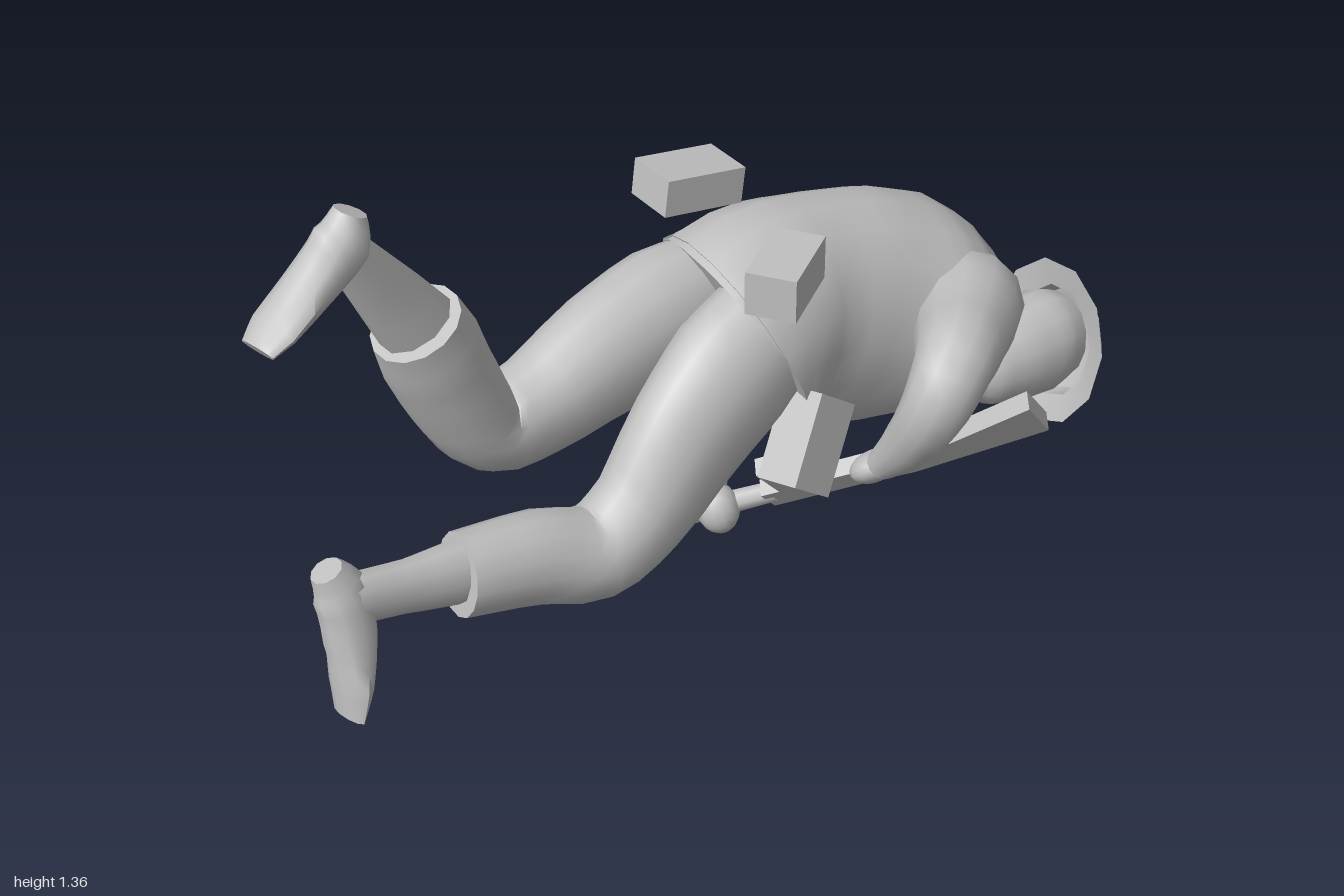
import * as THREE from 'three';
import { toCreasedNormals } from 'three/addons/utils/BufferGeometryUtils.js';

const grey = new THREE.MeshStandardMaterial({ color: 0xc0c0c0 });
grey.name = 'plain grey';
const greyOpen = grey.clone();
greyOpen.side = THREE.DoubleSide;
const V = (x, y, z) => new THREE.Vector3(x, y, z);

function add(parent, name, geometry, material = grey) {
  const mesh = new THREE.Mesh(geometry, material);
  mesh.name = name;
  parent.add(mesh);
  return mesh;
}

// Skin elliptical sections [x, y, z, halfWidth, halfDepth] along a smooth path
function loft(rows, sides = 12, steps = 3, sideAxis = V(1, 0, 0)) {
  const curve = new THREE.CatmullRomCurve3(rows.map((r) => V(r[0], r[1], r[2])));
  const n = (rows.length - 1) * steps, pos = [], idx = [];
  for (let i = 0; i <= n; i++) {
    const t = i / n, f = t * (rows.length - 1);
    const k = Math.min(Math.floor(f), rows.length - 2), m = f - k;
    const ru = THREE.MathUtils.lerp(rows[k][3], rows[k + 1][3], m);
    const rv = THREE.MathUtils.lerp(rows[k][4], rows[k + 1][4], m);
    const c = curve.getPoint(t), tan = curve.getTangent(t);
    const u = sideAxis.clone().addScaledVector(tan, -sideAxis.dot(tan)).normalize();
    const v = tan.clone().cross(u);
    for (let j = 0; j < sides; j++) {
      const a = (j / sides) * Math.PI * 2;
      const p = c.clone().addScaledVector(u, Math.cos(a) * ru).addScaledVector(v, Math.sin(a) * rv);
      pos.push(p.x, p.y, p.z);
      if (i < n) {
        const q = i * sides + j, r = i * sides + ((j + 1) % sides);
        idx.push(q, r, q + sides, r, r + sides, q + sides);
      }
    }
  }
  // flat end caps
  for (let j = 1; j < sides - 1; j++) {
    idx.push(0, j + 1, j, n * sides, n * sides + j, n * sides + j + 1);
  }
  const g = new THREE.BufferGeometry();
  g.setAttribute('position', new THREE.Float32BufferAttribute(pos, 3));
  g.setIndex(idx);
  return toCreasedNormals(g, 0.95);
}

function ellipsoid(parent, name, at, radii, tilt) {
  const m = add(parent, name, new THREE.SphereGeometry(1, 14, 10));
  m.position.set(...at);
  m.scale.set(...radii);
  m.rotation.z = tilt;
}

function box(parent, name, at, size, rot = [0, 0, 0]) {
  const m = add(parent, name, new THREE.BoxGeometry(...size));
  m.position.set(...at);
  m.rotation.set(...rot);
  return m;
}

export function createModel() {
  const model = new THREE.Group();
  model.name = 'crawlingSoldier';

  // Jacket, from slanted hem to collar
  add(model, 'jacket', loft([
    [-0.01, 0.775, -0.075, 0.24, 0.262], [-0.005, 0.79, -0.11, 0.225, 0.255],
    [0.0, 0.775, -0.21, 0.205, 0.258], [0.02, 0.73, -0.38, 0.215, 0.265],
    [0.045, 0.69, -0.53, 0.245, 0.24], [0.065, 0.665, -0.62, 0.235, 0.195],
    [0.09, 0.645, -0.685, 0.17, 0.135], [0.105, 0.63, -0.725, 0.085, 0.075],
  ], 18));

  // Neck, head and hat
  add(model, 'neck', loft([[0.1, 0.63, -0.68, 0.065, 0.065], [0.13, 0.51, -0.79, 0.05, 0.05]], 10, 2));
  add(model, 'head', loft([
    [0.125, 0.475, -0.64, 0.045, 0.05], [0.13, 0.48, -0.68, 0.085, 0.09],
    [0.135, 0.48, -0.78, 0.105, 0.118], [0.14, 0.475, -0.88, 0.108, 0.125],
    [0.143, 0.465, -0.94, 0.09, 0.105],
  ], 14));
  const profile = [[0.2, 0], [0.135, 0.018], [0.125, 0.065], [0.07, 0.092], [0, 0.1]]
    .map(([r, y]) => new THREE.Vector2(r, y));
  const hat = add(model, 'hat', toCreasedNormals(new THREE.LatheGeometry(profile, 11), 0.6), greyOpen);
  hat.position.set(0.145, 0.465, -0.9);
  hat.quaternion.setFromUnitVectors(V(0, 1, 0), V(0.15, -0.2, -0.95).normalize());
  hat.scale.set(0.92, 1, 1);

  // Raised right leg
  add(model, 'rightTrouserLeg', loft([
    [-0.105, 0.82, -0.13, 0.11, 0.14], [-0.12, 0.815, 0.04, 0.125, 0.15],
    [-0.12, 0.785, 0.2, 0.118, 0.14],
    [-0.125, 0.735, 0.38, 0.1, 0.11], [-0.125, 0.74, 0.49, 0.1, 0.09],
    [-0.13, 0.86, 0.56, 0.105, 0.1], [-0.125, 0.98, 0.61, 0.1, 0.105],
    [-0.115, 1.06, 0.645, 0.085, 0.095],
  ], 14));
  add(model, 'rightShin', loft([
    [-0.12, 1.02, 0.62, 0.065, 0.085], [-0.115, 1.14, 0.695, 0.05, 0.068],
    [-0.11, 1.28, 0.785, 0.042, 0.045],
  ], 10));
  add(model, 'rightBoot', loft([
    [-0.11, 1.355, 0.765, 0.035, 0.03], [-0.11, 1.3, 0.79, 0.055, 0.058],
    [-0.11, 1.235, 0.87, 0.058, 0.04], [-0.105, 1.185, 0.95, 0.06, 0.027],
    [-0.1, 1.16, 0.99, 0.045, 0.018],
  ], 10));

  // Trailing left leg
  add(model, 'leftTrouserLeg', loft([
    [0.085, 0.84, -0.1, 0.115, 0.15], [0.09, 0.77, 0.03, 0.12, 0.165],
    [0.095, 0.68, 0.15, 0.108, 0.15],
    [0.1, 0.55, 0.29, 0.1, 0.115], [0.095, 0.505, 0.4, 0.1, 0.1],
    [0.07, 0.545, 0.53, 0.09, 0.1], [0.045, 0.575, 0.7, 0.08, 0.09],
  ], 14));
  add(model, 'leftShin', loft([
    [0.045, 0.575, 0.66, 0.06, 0.075], [0.035, 0.605, 0.82, 0.042, 0.058],
    [0.025, 0.635, 0.95, 0.04, 0.055],
  ], 10));
  add(model, 'leftBoot', loft([
    [0.005, 0.705, 0.965, 0.035, 0.033], [0.015, 0.65, 0.945, 0.05, 0.057],
    [0.035, 0.55, 0.947, 0.055, 0.053], [0.055, 0.46, 0.968, 0.06, 0.032],
    [0.065, 0.395, 0.985, 0.048, 0.015],
  ], 10));

  // Arms, each a bent sleeve from shoulder to wrist
  add(model, 'leftArm', loft([
    [0.13, 0.72, -0.6, 0.1, 0.1], [0.21, 0.75, -0.54, 0.125, 0.125],
    [0.31, 0.775, -0.42, 0.1, 0.105], [0.395, 0.795, -0.305, 0.083, 0.083],
    [0.4, 0.72, -0.255, 0.072, 0.072], [0.34, 0.6, -0.25, 0.058, 0.058],
    [0.265, 0.5, -0.245, 0.035, 0.035],
  ], 12, 3, V(0.82, -0.48, -0.55)));
  add(model, 'rightArm', loft([
    [-0.06, 0.65, -0.6, 0.1, 0.1], [-0.14, 0.62, -0.54, 0.105, 0.125],
    [-0.21, 0.58, -0.41, 0.085, 0.095], [-0.262, 0.55, -0.26, 0.072, 0.08],
    [-0.25, 0.5, -0.185, 0.066, 0.07], [-0.175, 0.4, -0.13, 0.056, 0.058],
    [-0.1, 0.31, -0.085, 0.035, 0.035],
  ], 12, 3, V(0.62, 0.68, 0.43)));
  ellipsoid(model, 'leftHand', [0.235, 0.475, -0.255], [0.06, 0.035, 0.055], 0.7);
  ellipsoid(model, 'rightHand', [-0.08, 0.265, -0.085], [0.05, 0.06, 0.05], 0.4);

  // Rifle, built along its own x axis from muzzle to butt
  const rifle = new THREE.Group();
  rifle.name = 'rifle';
  const along = V(1, 0.59, -0.75).normalize();
  const across = along.clone().cross(V(0, 0.71, 0.71)).normalize();
  const up = across.clone().cross(along);
  rifle.quaternion.setFromRotationMatrix(new THREE.Matrix4().makeBasis(along, up, across));
  rifle.position.set(-0.5, 0.015, 0.2);
  model.add(rifle);
  const rod = (name, x0, x1, r0, r1) => {
    const m = add(rifle, name, new THREE.CylinderGeometry(r0, r1, x1 - x0, 8));
    m.rotation.z = Math.PI / 2;
    m.position.x = (x0 + x1) / 2;
  };
  rod('barrel', 0, 0.36, 0.012, 0.012);
  rod('handguard', 0.33, 0.7, 0.033, 0.025);
  box(rifle, 'bayonetLug', [0.34, -0.03, 0], [0.03, 0.035, 0.015]);
  box(rifle, 'receiver', [0.82, 0, 0], [0.28, 0.07, 0.04]);
  box(rifle, 'magazine', [0.765, 0.09, 0], [0.08, 0.12, 0.04]);
  const stock = new THREE.Shape([[0.93, -0.035], [1.02, -0.04], [1.345, 0.005],
    [1.35, 0.135], [1.0, 0.015], [0.93, 0.03]].map(([x, y]) => new THREE.Vector2(x, y)));
  add(rifle, 'stock', new THREE.ExtrudeGeometry(stock, { depth: 0.042, bevelEnabled: false })
    .translate(0, 0, -0.021));

  // Belt gear: two capped canteens on the back, two pouches below
  const canteen = (name, at, size, rot) => {
    const body = box(model, name, at, size, rot);
    const cap = add(body, 'cap', new THREE.CylinderGeometry(0.02, 0.02, 0.03, 8));
    cap.rotation.x = Math.PI / 2;
    cap.position.z = -size[2] / 2 - 0.012;
  };
  canteen('leftCanteen', [0.215, 1.055, 0.0], [0.105, 0.095, 0.18], [0, 0.5, 0]);
  canteen('rightCanteen', [-0.155, 1.08, -0.07], [0.125, 0.08, 0.19], [-0.14, -0.12, 0]);
  box(model, 'leftPouch', [0.225, 0.63, -0.06], [0.1, 0.12, 0.2], [0.92, 0.25, 0]);
  box(model, 'rightPouch', [-0.13, 0.64, -0.06], [0.14, 0.12, 0.2], [0.92, -0.05, 0]);
  return model;
}
